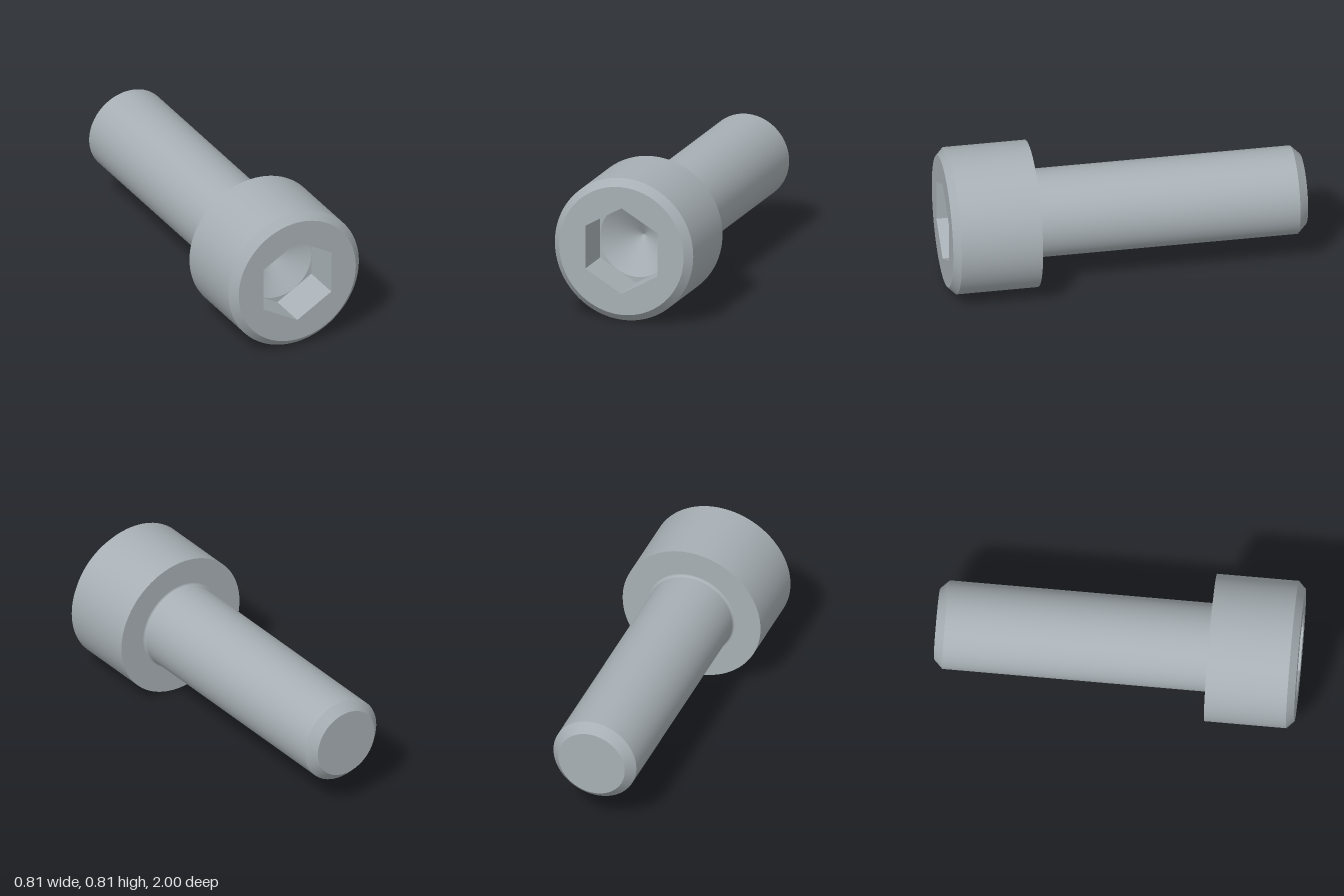
import * as THREE from 'three';

const SEG = 96;
const HEAD_R = 0.406, FACE_R = 0.365, SHANK_R = 0.244, TIP_R = 0.195;
const HEAD_BACK = 0.507, FILLET = 0.014;
const HEX_R = 0.245, DRILL_R = HEX_R * Math.cos(Math.PI / 6) - 0.0005;
const SOCKET_Z = 0.77, APEX_Z = 0.648;

export function createModel() {
  const group = new THREE.Group();
  const steel = new THREE.MeshStandardMaterial({ color: 0xa8b0b5 });
  steel.name = 'steel grey';

  const add = (name, geometry) => {
    const mesh = new THREE.Mesh(geometry, steel);
    mesh.name = name;
    group.add(mesh);
  };

  // Surface of revolution about z from [radius, z] pairs; ascending z faces outward
  const turned = (profile, segments = SEG) =>
    new THREE.LatheGeometry(profile.map(([r, z]) => new THREE.Vector2(r, z)), segments).rotateX(Math.PI / 2);

  const circle = (Type, r) => new Type().absarc(0, 0, r, 0, Math.PI * 2, false);
  const hexagon = (Type) => new Type().setFromPoints(
    Array.from({ length: 7 }, (_, i) => {
      const a = Math.PI / 2 + (i * Math.PI) / 3;
      return new THREE.Vector2(HEX_R * Math.cos(a), HEX_R * Math.sin(a));
    }));
  // Flat front-facing ring at depth z
  const ring = (outer, hole, z) => {
    outer.holes.push(hole);
    return new THREE.ShapeGeometry(outer, SEG / 2).translate(0, 0, z);
  };

  // Shank: end disc, chamfer, body with a small fillet under the head
  const fillet = Array.from({ length: 9 }, (_, i) => {
    const a = (i / 8) * Math.PI / 2;
    return [SHANK_R + FILLET * (1 - Math.cos(a)), HEAD_BACK - FILLET * (1 - Math.sin(a))];
  });
  add('shankEnd', turned([[0, -1], [TIP_R, -1]]));
  add('shankChamfer', turned([[TIP_R, -1], [SHANK_R, -0.95]]));
  add('shank', turned([[SHANK_R, -0.95], [SHANK_R, HEAD_BACK - FILLET]]));
  add('underHeadFillet', turned(fillet));

  // Cylindrical head
  add('headUnderside', turned([[SHANK_R + FILLET, HEAD_BACK], [HEAD_R, HEAD_BACK]]));
  add('headSide', turned([[HEAD_R, HEAD_BACK], [HEAD_R, 0.959]]));
  add('headChamfer', turned([[HEAD_R, 0.959], [FACE_R, 1]]));
  add('headFace', ring(circle(THREE.Shape, FACE_R), hexagon(THREE.Path), 1));

  // Hex socket: six flat walls, corner ledges and a drilled cone at the bottom
  const walls = turned([[HEX_R, 1], [HEX_R, SOCKET_Z]], 6).toNonIndexed();
  walls.computeVertexNormals();
  add('socketWalls', walls);
  add('socketLedge', ring(hexagon(THREE.Shape), circle(THREE.Path, DRILL_R), SOCKET_Z));
  add('socketCone', turned([[DRILL_R, SOCKET_Z], [0, APEX_Z]]));

  // Stand the head on y = 0
  group.children.forEach((mesh) => { mesh.position.y = HEAD_R; });
  return group;
}
